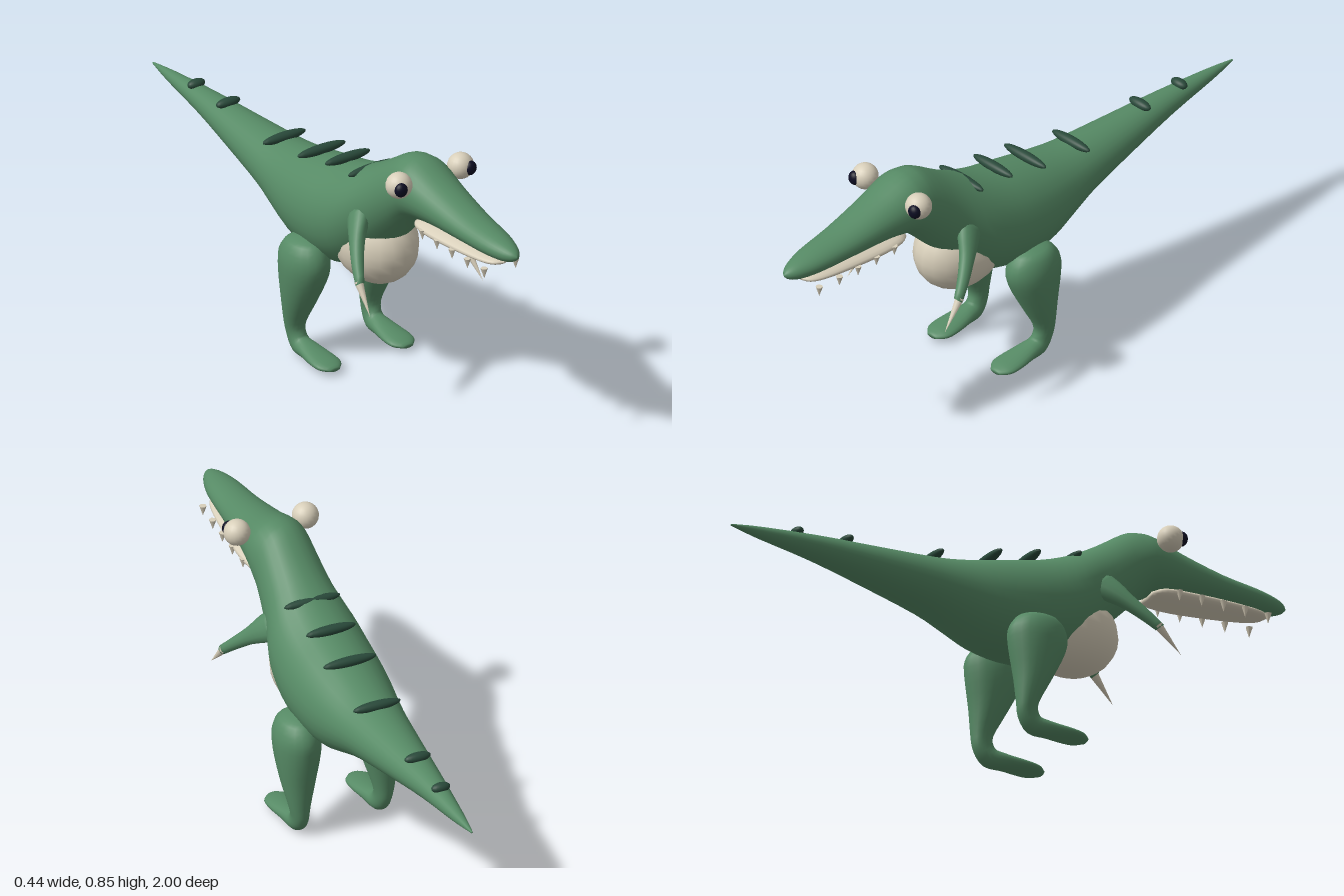
import * as THREE from 'three';

const paint = (name, color) => {
  const m = new THREE.MeshStandardMaterial({ color });
  m.name = name;
  return m;
};

// Smooth skin through oval rings [x, y, z, halfWidth, halfHeight, tilt];
// tilt 0 runs toward +z, tilt 90 runs downward.
function loft(rings, sides = 20, sub = 3) {
  const centres = new THREE.CatmullRomCurve3(rings.map(r => new THREE.Vector3(r[0], r[1], r[2])), false, 'catmullrom');
  const sizes = new THREE.CatmullRomCurve3(rings.map(r => new THREE.Vector3(r[3], r[4], (r[5] || 0) / 100)), false, 'catmullrom');
  const n = (rings.length - 1) * sub, pos = [], idx = [];
  for (let i = 0; i <= n; i++) {
    const c = centres.getPoint(i / n), s = sizes.getPoint(i / n);
    const t = THREE.MathUtils.degToRad(s.z * 100);
    const w = Math.max(s.x, 0.0005), h = Math.max(s.y, 0.0005);
    for (let j = 0; j < sides; j++) {
      const a = (j / sides) * Math.PI * 2, v = h * Math.sin(a);
      pos.push(c.x + w * Math.cos(a), c.y + v * Math.cos(t), c.z + v * Math.sin(t));
    }
  }
  for (let i = 0; i < n; i++) {
    for (let j = 0; j < sides; j++) {
      const a = i * sides + j, b = i * sides + (j + 1) % sides;
      idx.push(a, b, b + sides, a, b + sides, a + sides);
    }
  }
  // end caps
  [0, n].forEach(i => {
    const c = centres.getPoint(i / n), k = pos.length / 3;
    pos.push(c.x, c.y, c.z);
    for (let j = 0; j < sides; j++) {
      const a = i * sides + j, b = i * sides + (j + 1) % sides;
      if (i) idx.push(k, a, b); else idx.push(k, b, a);
    }
  });
  const g = new THREE.BufferGeometry();
  g.setAttribute('position', new THREE.Float32BufferAttribute(pos, 3));
  g.setIndex(idx);
  g.computeVertexNormals();
  return g;
}

export function createModel() {
  const green = paint('skin green', 0x568a65);
  const dark = paint('stripe green', 0x29493a);
  const cream = paint('cream', 0xd8cfba);
  const black = paint('pupil black', 0x0c0c22);

  const model = new THREE.Group();
  model.name = 'reptile';
  const add = (name, geometry, material, parent = model) => {
    const m = new THREE.Mesh(geometry, material);
    m.name = name;
    parent.add(m);
    return m;
  };
  const ball = (name, material, p, r, parent) => {
    const m = add(name, new THREE.SphereGeometry(1, 20, 14), material, parent);
    m.position.set(...p);
    m.scale.set(...r);
    return m;
  };
  const spike = (name, from, to, radius, sides) => {
    const a = new THREE.Vector3(...from), b = new THREE.Vector3(...to), d = b.clone().sub(a);
    const m = add(name, new THREE.ConeGeometry(radius, d.length(), sides), cream);
    m.position.copy(a).add(b).multiplyScalar(0.5);
    m.quaternion.setFromUnitVectors(new THREE.Vector3(0, 1, 0), d.normalize());
  };

  // Tail, trunk, neck and snout: z, top, bottom, half width
  const profile = [
    [-1, 0.556, 0.55, 0.003], [-0.9, 0.568, 0.53, 0.02], [-0.7, 0.582, 0.5, 0.047],
    [-0.5, 0.588, 0.458, 0.076], [-0.3, 0.595, 0.41, 0.106], [-0.2, 0.606, 0.372, 0.125],
    [-0.1, 0.627, 0.332, 0.145], [0, 0.65, 0.317, 0.157], [0.1, 0.675, 0.325, 0.16],
    [0.2, 0.713, 0.368, 0.152], [0.3, 0.77, 0.46, 0.122], [0.4, 0.836, 0.56, 0.106],
    [0.45, 0.85, 0.61, 0.105], [0.5, 0.846, 0.647, 0.102], [0.6, 0.812, 0.668, 0.087],
    [0.75, 0.775, 0.677, 0.07], [0.88, 0.758, 0.682, 0.056], [0.95, 0.746, 0.688, 0.038],
    [0.985, 0.734, 0.7, 0.02], [1, 0.722, 0.714, 0.003],
  ];
  add('body', loft(profile.map(([z, t, b, w]) => [0, (t + b) / 2, z, w, (t - b) / 2]), 28), green);

  ball('belly', cream, [0, 0.455, 0.22], [0.125, 0.142, 0.165]);

  // Lower jaw
  add('jaw', loft([
    [0, 0.645, 0.5, 0.045, 0.012], [0, 0.652, 0.54, 0.068, 0.021], [0, 0.655, 0.62, 0.074, 0.023],
    [0, 0.662, 0.75, 0.066, 0.021], [0, 0.668, 0.86, 0.052, 0.016], [0, 0.671, 0.91, 0.034, 0.011],
    [0, 0.673, 0.93, 0.004, 0.003],
  ]), cream);

  // Stripes across the back: y, z, half width
  [[0.7, 0.21, 0.097], [0.677, 0.068, 0.086], [0.644, -0.075, 0.092],
    [0.6, -0.28, 0.082], [0.59, -0.588, 0.045], [0.581, -0.763, 0.032]].forEach(([y, z, w]) =>
    ball('backStripe', dark, [0, y, z], [w, 0.016, 0.018]));

  const teeth = [[0.06, 0.905], [0.065, 0.82], [0.068, 0.74], [0.07, 0.66], [0.07, 0.58]];

  for (const s of [1, -1]) {
    const side = s > 0 ? 'left' : 'right';

    ball(side + 'Eye', cream, [s * 0.118, 0.806, 0.52], [0.043, 0.043, 0.043]);
    ball(side + 'Pupil', black, [s * 0.132, 0.807, 0.552], [0.022, 0.024, 0.019]);

    teeth.forEach(([x, z]) => spike(side + 'Tooth', [s * x, 0.66, z], [s * x, 0.624, z], 0.012, 6));

    // Arm and claw
    add(side + 'Arm', loft([
      [s * 0.085, 0.61, 0.26, 0.04, 0.06, 50], [s * 0.118, 0.575, 0.3, 0.036, 0.046, 48],
      [s * 0.152, 0.535, 0.34, 0.027, 0.029, 46], [s * 0.182, 0.49, 0.385, 0.021, 0.021, 46],
      [s * 0.206, 0.443, 0.432, 0.015, 0.016, 48],
    ], 14), green);
    spike(side + 'Claw', [s * 0.206, 0.449, 0.425], [s * 0.216, 0.36, 0.502], 0.015, 8);

    // Leg, turning forward into the foot
    add(side + 'Leg', loft([
      [s * 0.135, 0.42, 0.03, 0.012, 0.025, 90], [s * 0.137, 0.405, 0.03, 0.05, 0.07, 90],
      [s * 0.138, 0.36, 0.028, 0.07, 0.099, 90], [s * 0.138, 0.3, 0.025, 0.073, 0.096, 90],
      [s * 0.142, 0.2, 0.008, 0.057, 0.064, 90], [s * 0.145, 0.11, -0.012, 0.036, 0.037, 90],
      [s * 0.143, 0.065, -0.008, 0.029, 0.036, 75], [s * 0.141, 0.035, 0.015, 0.032, 0.034, 30],
      [s * 0.14, 0.031, 0.06, 0.038, 0.026, 0], [s * 0.14, 0.027, 0.12, 0.046, 0.02, 0],
      [s * 0.14, 0.024, 0.17, 0.044, 0.015, 0], [s * 0.14, 0.022, 0.2, 0.02, 0.007, 0],
    ]), green);
  }
  return model;
}
